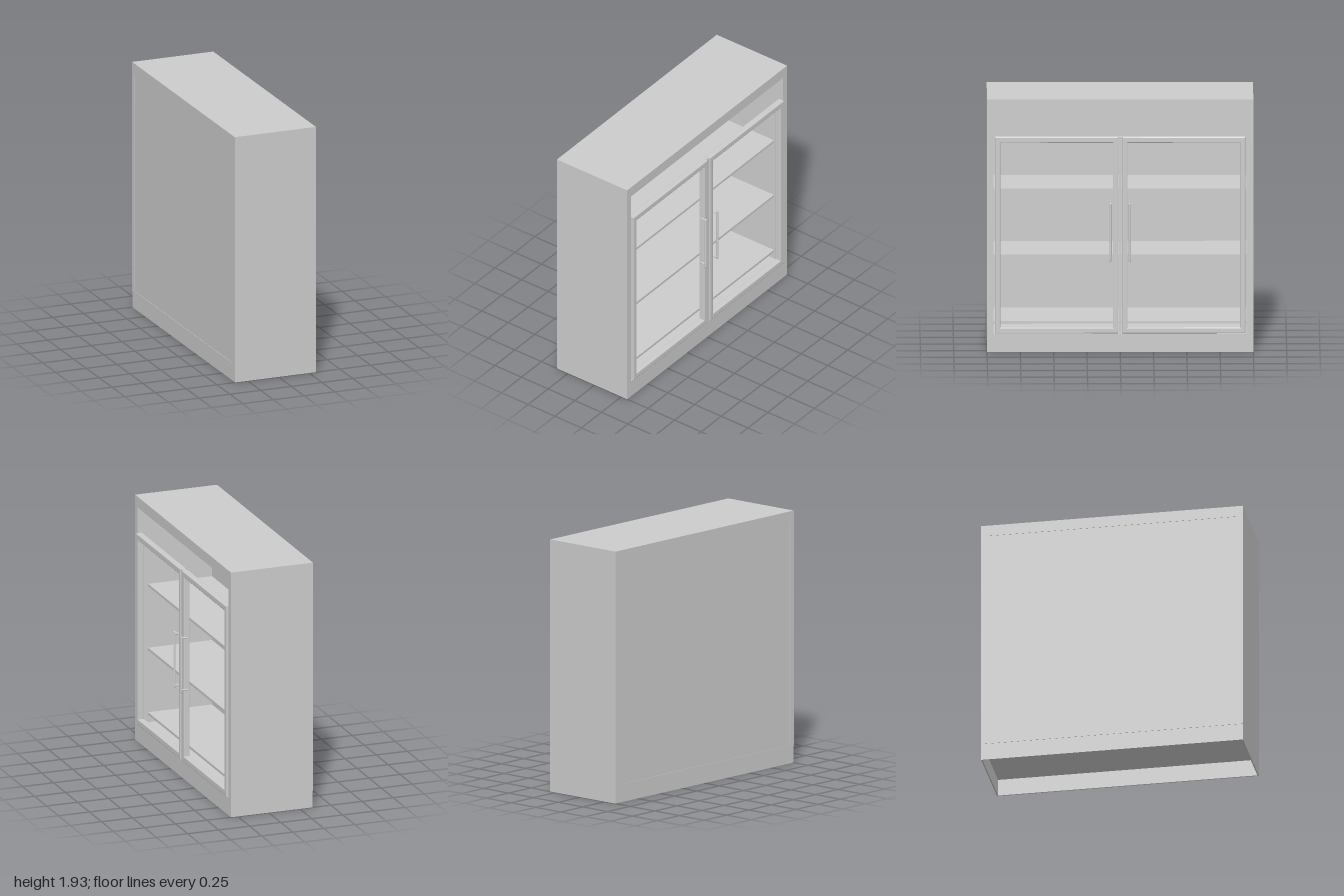
import * as THREE from 'three';

const steel = new THREE.MeshStandardMaterial({ color: 0xcccccc });
steel.name = 'light grey steel';

// Box given by its minimum and maximum on each axis
function box(parent, name, x0, x1, y0, y1, z0, z1) {
  const m = new THREE.Mesh(new THREE.BoxGeometry(x1 - x0, y1 - y0, z1 - z0), steel);
  m.position.set((x0 + x1) / 2, (y0 + y1) / 2, (z0 + z1) / 2);
  m.name = name;
  parent.add(m);
  return m;
}

// Rectangle outline in the z-y plane
function rect(target, z0, z1, y0, y1) {
  target.moveTo(z0, y0);
  target.lineTo(z1, y0);
  target.lineTo(z1, y1);
  target.lineTo(z0, y1);
  target.closePath();
  return target;
}

// Bar with rounded ends along y
function capsule(parent, name, r, length, x, y, z) {
  const m = new THREE.Mesh(new THREE.CapsuleGeometry(r, length - 2 * r, 4, 12), steel);
  m.position.set(x, y, z);
  m.name = name;
  parent.add(m);
}

function createDoor(side) {
  const door = new THREE.Group();
  door.name = side > 0 ? 'leftDoor' : 'rightDoor';

  // Bevelled open frame, extruded towards +x
  const bevel = 0.006;
  const shape = rect(new THREE.Shape(), -0.4625, 0.4625, 0.145, 1.65);
  shape.holes.push(rect(new THREE.Path(), -0.4225, 0.4225, 0.19, 1.605));
  const geo = new THREE.ExtrudeGeometry(shape, {
    depth: 0.05 - 2 * bevel, bevelThickness: bevel, bevelSize: bevel,
    bevelOffset: -bevel, bevelSegments: 2,
  });
  const frame = new THREE.Mesh(geo, steel);
  frame.name = 'doorFrame';
  frame.rotation.y = Math.PI / 2;
  frame.position.set(0.27 + bevel, 0, side * 0.4775);
  door.add(frame);

  // Pull handle on two posts
  const z = side * 0.072;
  capsule(door, 'handleBar', 0.009, 0.45, 0.346, 0.925, z);
  for (const y of [0.72, 1.13]) {
    const post = new THREE.Mesh(new THREE.CylinderGeometry(0.007, 0.007, 0.05, 12), steel);
    post.name = 'handlePost';
    post.rotation.z = Math.PI / 2;
    post.position.set(0.32, y, z * 0.85);
    door.add(post);
    box(door, 'handleBracket', 0.336, 0.346, y - 0.007, y + 0.007,
      Math.min(z * 0.8, z), Math.max(z * 0.8, z));
  }
  return door;
}

export function createModel() {
  const model = new THREE.Group();
  model.name = 'displayCabinet';
  const back = -0.355, front = 0.305;

  // Hollow plinth
  box(model, 'plinthFront', front - 0.01, front, 0, 0.13, -1, 1);
  box(model, 'plinthBack', back + 0.003, back + 0.013, 0, 0.13, -1, 1);
  for (const s of [-1, 1]) {
    box(model, 'plinthSide', back + 0.013, front - 0.01, 0, 0.13, s * 0.995 - 0.005, s * 0.995 + 0.005);
  }

  // Carcass
  box(model, 'floor', back, front, 0.13, 0.14, -1, 1);
  box(model, 'top', back, front, 1.85, 1.935, -1, 1);
  for (const s of [-1, 1]) {
    box(model, 'sideWall', back, front, 0.14, 1.85, s * 0.975 - 0.025, s * 0.975 + 0.025);
  }
  box(model, 'backPanel', back + 0.003, -0.295, 0.14, 1.85, -0.95, 0.95);

  // Shelves
  for (const y of [0.21, 0.72, 1.225]) {
    box(model, 'shelf', -0.295, 0.22, y - 0.01, y + 0.01, -0.95, 0.95);
  }

  // Doors and the strip between them
  box(model, 'centreStrip', 0.28, 0.312, 0.145, 1.65, -0.011, 0.011);
  for (const s of [-1, 1]) model.add(createDoor(s));

  return model;
}
